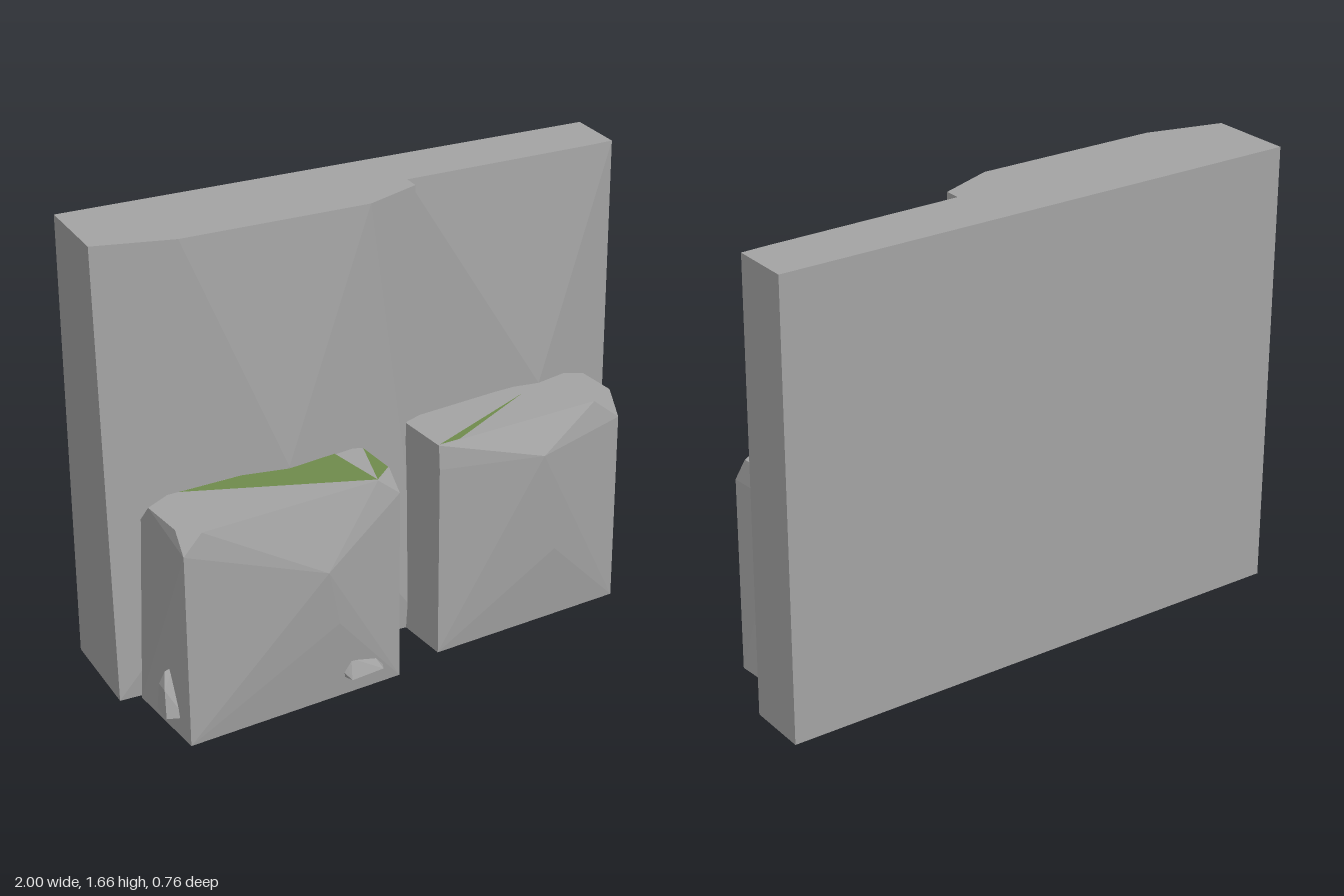
import * as THREE from 'three';
import { ConvexGeometry } from 'three/addons/geometries/ConvexGeometry.js';

const stone = new THREE.MeshStandardMaterial({ color: 0xa3a3a3, flatShading: true });
stone.name = 'grey stone';
const moss = new THREE.MeshStandardMaterial({ color: 0x6f8b4c, flatShading: true, side: THREE.DoubleSide });
moss.name = 'moss green';

const vec = ([x, y, z]) => new THREE.Vector3(x, y, z);

// Faceted solid wrapped around a few corner points
function rock(name, points) {
  const mesh = new THREE.Mesh(new ConvexGeometry(points.map(vec)), stone);
  mesh.name = name;
  return mesh;
}

// Flat triangles of moss lying on a boulder top; corners are [x, z]
function mossPatch(name, y, triangles) {
  const g = new THREE.BufferGeometry().setFromPoints(
    triangles.flat().map(([x, z]) => new THREE.Vector3(x, y, z)));
  g.computeVertexNormals();
  const mesh = new THREE.Mesh(g, moss);
  mesh.name = name;
  return mesh;
}

// Places a list of [x, z] corners at one height
const level = (y, corners) => corners.map(([x, z]) => [x, y, z]);

export function createModel() {
  const model = new THREE.Group();
  model.name = 'cliff with boulders';
  const H = 1.66, back = -0.38;

  // Cliff wall: two slabs meeting at a step
  model.add(rock('cliffRight', [
    ...level(0, [[-1, back], [0.18, back], [-1, 0], [0.18, 0.01]]),
    ...level(H, [[-1, back], [0.18, back], [-1, -0.07], [-0.72, 0], [-0.03, 0], [0.18, -0.085]]),
    [-0.38, 0.8, 0.08],
  ]));
  model.add(rock('cliffLeft', [
    ...level(0, [[0.18, back], [1, back], [0.18, -0.13], [1, -0.15]]),
    ...level(H, [[0.18, back], [1, back], [0.18, -0.145], [0.92, -0.156], [1, -0.16]]),
    [0.68, 0.82, -0.075],
  ]));

  // Boulders with chamfered top corners and a bulging front
  model.add(rock('boulderRight', [
    ...level(0, [[-0.89, 0.368], [-0.065, 0.285], [-0.09, 0.02], [-0.925, 0.015]]),
    ...level(0.72, [[-0.89, 0.365], [-0.065, 0.283], [-0.09, 0.02], [-0.915, 0.06]]),
    ...level(0.79, [[-0.91, 0.12], [-0.89, 0.3], [-0.82, 0.355], [-0.15, 0.288],
      [-0.075, 0.225], [-0.09, 0.05], [-0.16, 0.02], [-0.82, 0.065]]),
    [-0.38, 0.54, 0.383], [-0.33, 0.32, 0.358],
  ]));
  model.add(rock('boulderLeft', [
    ...level(0, [[0.125, 0.214], [0.89, 0.138], [0.865, -0.143], [0.1, -0.03]]),
    ...level(0.73, [[0.125, 0.213], [0.89, 0.135], [0.87, -0.113]]),
    ...level(0.82, [[0.105, 0], [0.125, 0.205], [0.78, 0.145], [0.88, 0.085],
      [0.865, -0.075], [0.8, -0.105], [0.5, -0.08], [0.13, -0.03]]),
    [0.53, 0.7, 0.234], [0.6, 0.3, 0.205],
  ]));

  // Moss on the boulder tops
  model.add(mossPatch('mossRight', 0.793, [
    [[-0.78, 0.068], [-0.15, 0.286], [-0.2, 0.03]],
    [[-0.15, 0.286], [-0.077, 0.22], [-0.09, 0.055]],
  ]));
  model.add(mossPatch('mossLeft', 0.823, [[[0.13, 0.203], [0.21, 0.196], [0.58, -0.02]]]));

  // Chips of stone poking out near the foot of the right boulder
  model.add(rock('frontChip', [
    [-0.31, 0.11, 0.3], [-0.29, 0.15, 0.3], [-0.16, 0.115, 0.28], [-0.13, 0.075, 0.28], [-0.3, 0.075, 0.3],
    [-0.27, 0.145, 0.322], [-0.17, 0.112, 0.312], [-0.15, 0.075, 0.33], [-0.28, 0.075, 0.35],
  ]));
  model.add(rock('sideChip', [
    ...level(0.07, [[-0.94, 0.2], [-0.94, 0.28], [-0.88, 0.3], [-0.88, 0.18]]),
    ...level(0.17, [[-0.935, 0.21], [-0.935, 0.26]]),
    [-0.92, 0.225, 0.23], [-0.89, 0.235, 0.23],
  ]));
  model.add(rock('tinyChip', [
    ...level(0.075, [[-0.09, 0.175], [-0.09, 0.215], [-0.058, 0.195]]), [-0.08, 0.1, 0.195],
  ]));
  return model;
}
